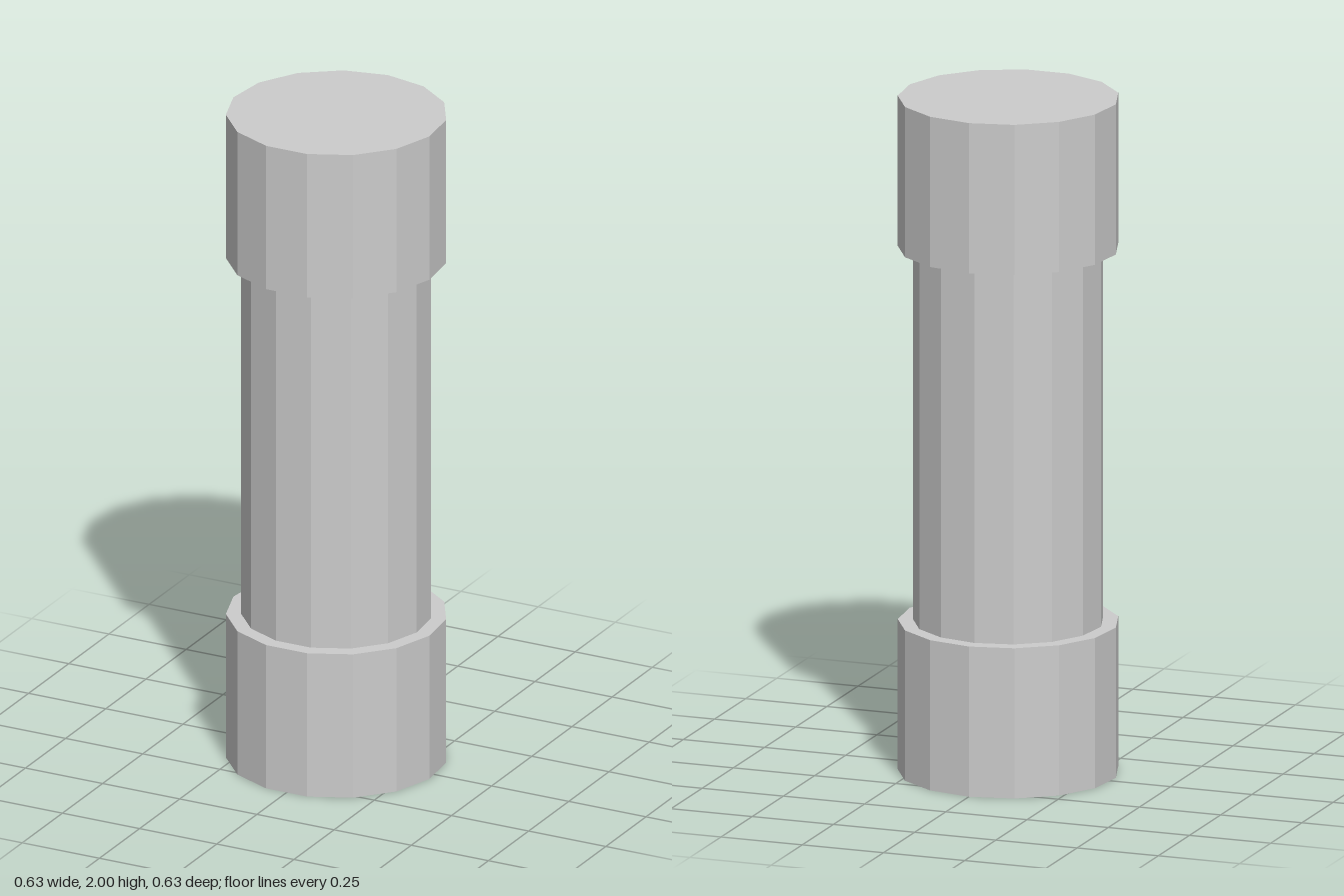
import * as THREE from 'three';

const SIDES = 15;
const CAP_RADIUS = 0.319, CAP_HEIGHT = 0.446;
const SHAFT_RADIUS = 0.275, HEIGHT = 2;

export function createModel() {
  const group = new THREE.Group();
  group.name = 'cappedTube';
  const material = new THREE.MeshStandardMaterial({ color: 0xcccccc, flatShading: true });

  // Faceted prism with one corner pointing to the back
  function prism(name, radius, bottom, top) {
    const geometry = new THREE.CylinderGeometry(radius, radius, top - bottom, SIDES);
    geometry.rotateY(Math.PI);
    const mesh = new THREE.Mesh(geometry, material);
    mesh.name = name;
    // Odd side count: shift so the footprint is centred on z = 0
    mesh.position.set(0, (bottom + top) / 2, 0.0035);
    group.add(mesh);
  }

  prism('bottomCap', CAP_RADIUS, 0, CAP_HEIGHT);
  prism('shaft', SHAFT_RADIUS, CAP_HEIGHT, HEIGHT - CAP_HEIGHT);
  prism('topCap', CAP_RADIUS, HEIGHT - CAP_HEIGHT, HEIGHT);

  return group;
}
